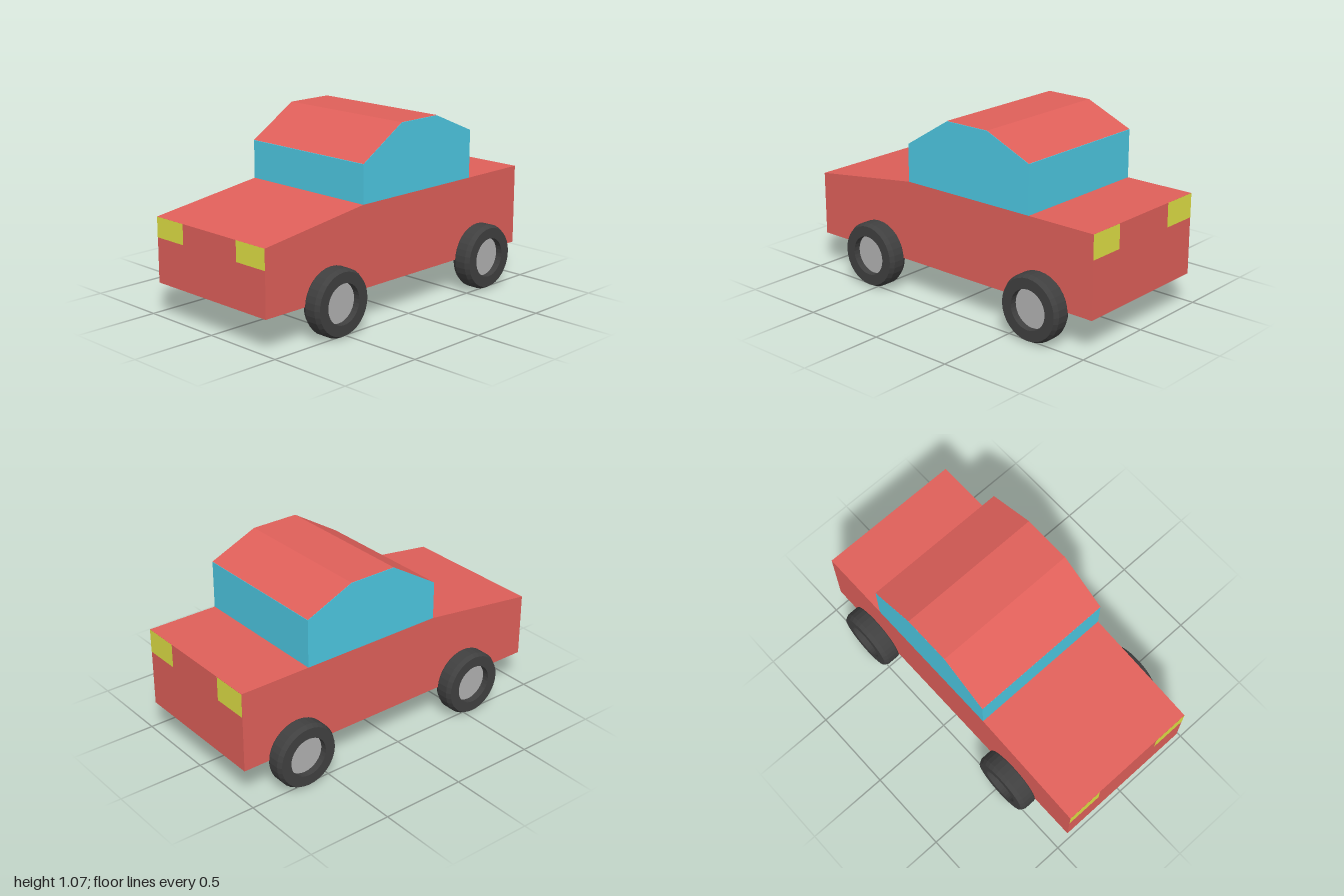
import * as THREE from 'three';

const WIDTH = 0.87;
const paint = (color) => new THREE.MeshStandardMaterial({ color, flatShading: true });
const red = paint(0xe0605a);
const glass = paint(0x4dc8e2);
const yellow = paint(0xe0e045);
const rubber = paint(0x404040);
const metal = paint(0xb2b2b2);

function add(parent, name, geometry, material) {
  const mesh = new THREE.Mesh(geometry, material);
  mesh.name = name;
  parent.add(mesh);
  return mesh;
}

// Side outline of [z, y] points, extruded across the full width
function sideExtrude(points) {
  const shape = new THREE.Shape(points.map(([z, y]) => new THREE.Vector2(z, y)));
  return new THREE.ExtrudeGeometry(shape, { depth: WIDTH, bevelEnabled: false })
    .rotateY(-Math.PI / 2)
    .translate(WIDTH / 2, 0, 0);
}

// Tyre with a recessed hub, outer side towards +x
function createWheel() {
  const wheel = new THREE.Group();
  const profile = [
    [0, -0.06], [0.176, -0.06], [0.19, -0.034], [0.19, 0.034],
    [0.176, 0.06], [0.115, 0.06], [0.115, 0.02],
  ].map(([r, x]) => new THREE.Vector2(r, x));
  add(wheel, 'tyre', new THREE.LatheGeometry(profile, 32).rotateZ(-Math.PI / 2), rubber);
  const hub = new THREE.CircleGeometry(0.115, 32).rotateY(Math.PI / 2);
  add(wheel, 'hub', hub, metal).position.x = 0.02;
  return wheel;
}

export function createModel() {
  const truck = new THREE.Group();
  truck.name = 'pickupTruck';

  // Lower body with sloping bonnet and flat bed
  add(truck, 'body', sideExtrude([
    [-1, 0.195], [1, 0.195], [1, 0.57], [0.295, 0.665], [-1, 0.665],
  ]), red);

  // Glass cabin
  const roofLine = [[0.295, 0.885], [0, 1.068], [-0.288, 1.068], [-0.575, 0.945]];
  add(truck, 'cabin', sideExtrude([[-0.575, 0.665], [0.295, 0.665], ...roofLine]), glass);

  // Roof skin following the top of the cabin
  const roof = new THREE.PlaneGeometry(WIDTH, 1, 1, 3);
  const pos = roof.attributes.position;
  for (let i = 0; i < pos.count; i++) {
    const [z, y] = roofLine[3 - Math.floor(i / 2)];
    pos.setXYZ(i, pos.getX(i), y + 0.002, z);
  }
  roof.computeVertexNormals();
  add(truck, 'roof', roof, red);

  for (const side of [1, -1]) {
    const name = side > 0 ? 'left' : 'right';
    const x = side * (WIDTH / 2 - 0.11);

    // Lamps flush with the upper corners
    add(truck, name + 'Headlight', new THREE.PlaneGeometry(0.22, 0.117), yellow)
      .position.set(x, 0.5115, 1.001);
    add(truck, name + 'TailLight', new THREE.PlaneGeometry(0.22, 0.14).rotateY(Math.PI), yellow)
      .position.set(x, 0.595, -1.001);

    // Wheels
    for (const [end, z] of [['Front', 0.54], ['Rear', -0.655]]) {
      const wheel = createWheel();
      wheel.name = name + end + 'Wheel';
      wheel.position.set(side * 0.474, 0.19, z);
      if (side < 0) wheel.rotation.y = Math.PI;
      truck.add(wheel);
    }
  }
  return truck;
}
